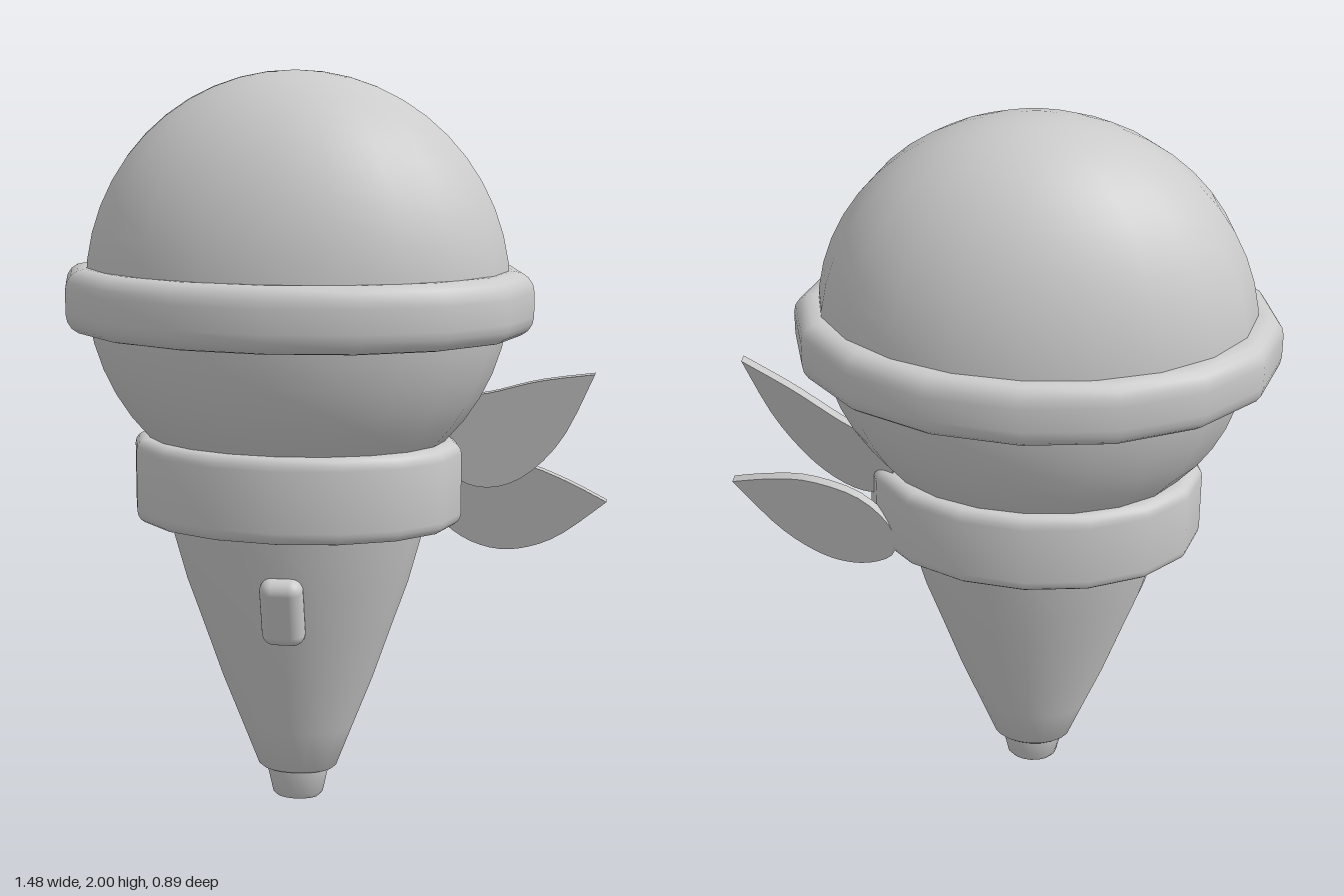
import * as THREE from 'three';
import { RoundedBoxGeometry } from 'three/addons/geometries/RoundedBoxGeometry.js';
import { toCreasedNormals } from 'three/addons/utils/BufferGeometryUtils.js';

const CENTER_X = -0.105; // axis of the body
const FLATTEN = 0.7; // the body is oval: depth / width

const material = new THREE.MeshStandardMaterial({ color: 0xcccccc });

function addMesh(parent, name, geometry) {
  const mesh = new THREE.Mesh(geometry, material);
  mesh.name = name;
  parent.add(mesh);
  return mesh;
}

// Oval solid turned from a profile of [radius, y] points
function addTurned(parent, name, profile, sides) {
  const points = profile.map(([r, y]) => new THREE.Vector2(r, y));
  const geometry = toCreasedNormals(new THREE.LatheGeometry(points, sides), 0.7);
  const mesh = addMesh(parent, name, geometry);
  mesh.position.x = CENTER_X;
  mesh.scale.z = FLATTEN;
  return mesh;
}

// Closed rounded-rectangle profile for a band, running up its outside
function bandProfile(inner, outer, bottom, top, radius) {
  const points = [];
  const corners = [
    [outer - radius, bottom + radius, -Math.PI / 2],
    [outer - radius, top - radius, 0],
    [inner + radius, top - radius, Math.PI / 2],
    [inner + radius, bottom + radius, Math.PI],
  ];
  for (const [r, y, start] of corners) {
    for (let i = 0; i <= 4; i++) {
      const a = start + (i / 4) * (Math.PI / 2);
      points.push([r + Math.cos(a) * radius, y + Math.sin(a) * radius]);
    }
  }
  points.push(points[0]);
  return points;
}

// Thin leaf with a sharp tip: outline in x/y, sheared onto a slanted plane
function leafGeometry(outline, tipZ, slopeX, slopeY) {
  const [tip, ...rest] = outline;
  const shape = new THREE.Shape();
  shape.moveTo(tip[0], tip[1]);
  shape.splineThru([...rest, tip].map(([x, y]) => new THREE.Vector2(x, y)));
  const geometry = new THREE.ExtrudeGeometry(shape, { depth: 0.032, bevelEnabled: false, curveSegments: 3 });
  const p = geometry.attributes.position;
  for (let i = 0; i < p.count; i++) {
    const slant = slopeX * (p.getX(i) - tip[0]) + slopeY * (p.getY(i) - tip[1]);
    p.setZ(i, p.getZ(i) - 0.016 + tipZ + slant);
  }
  return toCreasedNormals(geometry, 0.7);
}

export function createModel() {
  const model = new THREE.Group();
  model.name = 'ovalConeWithLeaves';

  // Ball on top of the cone
  const ball = addMesh(model, 'ball', new THREE.SphereGeometry(0.573, 20, 24));
  ball.position.set(CENTER_X, 1.427, 0);
  ball.scale.z = FLATTEN;

  // Bands around the ball and the mouth of the cone
  addTurned(model, 'ballBand', bandProfile(0.5, 0.637, 1.308, 1.482, 0.055), 16);
  addTurned(model, 'collar', bandProfile(0.3, 0.45, 0.79, 1.022, 0.034), 16);

  // Slightly bulging cone and its blunt tip
  addTurned(model, 'cone', [
    [0, 0.085], [0.1, 0.085], [0.109, 0.092], [0.155, 0.21], [0.21, 0.35],
    [0.262, 0.5], [0.308, 0.63], [0.355, 0.8], [0.375, 0.9], [0, 0.9],
  ], 20);
  addTurned(model, 'tip', [
    [0, 0], [0.06, 0], [0.071, 0.012], [0.085, 0.075], [0.088, 0.1], [0, 0.1],
  ], 16);

  // Button lying on the front of the cone
  const button = addMesh(model, 'button', new RoundedBoxGeometry(0.117, 0.195, 0.07, 4, 0.034));
  button.position.set(CENTER_X, 0.585, 0.206);
  button.rotation.x = 0.25;

  // Pair of leaves tucked behind the collar on the left
  addMesh(model, 'upperLeaf', leafGeometry([
    [0.7, 1.23], [0.62, 1.06], [0.52, 0.95], [0.42, 0.905], [0.33, 0.915],
    [0.27, 0.98], [0.27, 1.07], [0.33, 1.125], [0.42, 1.15], [0.55, 1.195],
  ], 0.085, 0.58, -0.28));
  addMesh(model, 'lowerLeaf', leafGeometry([
    [0.735, 0.88], [0.61, 0.775], [0.51, 0.727], [0.42, 0.715], [0.33, 0.738],
    [0.26, 0.795], [0.27, 0.88], [0.36, 0.945], [0.5, 0.955], [0.62, 0.925],
  ], 0.025, 0.38, -0.05));

  return model;
}
